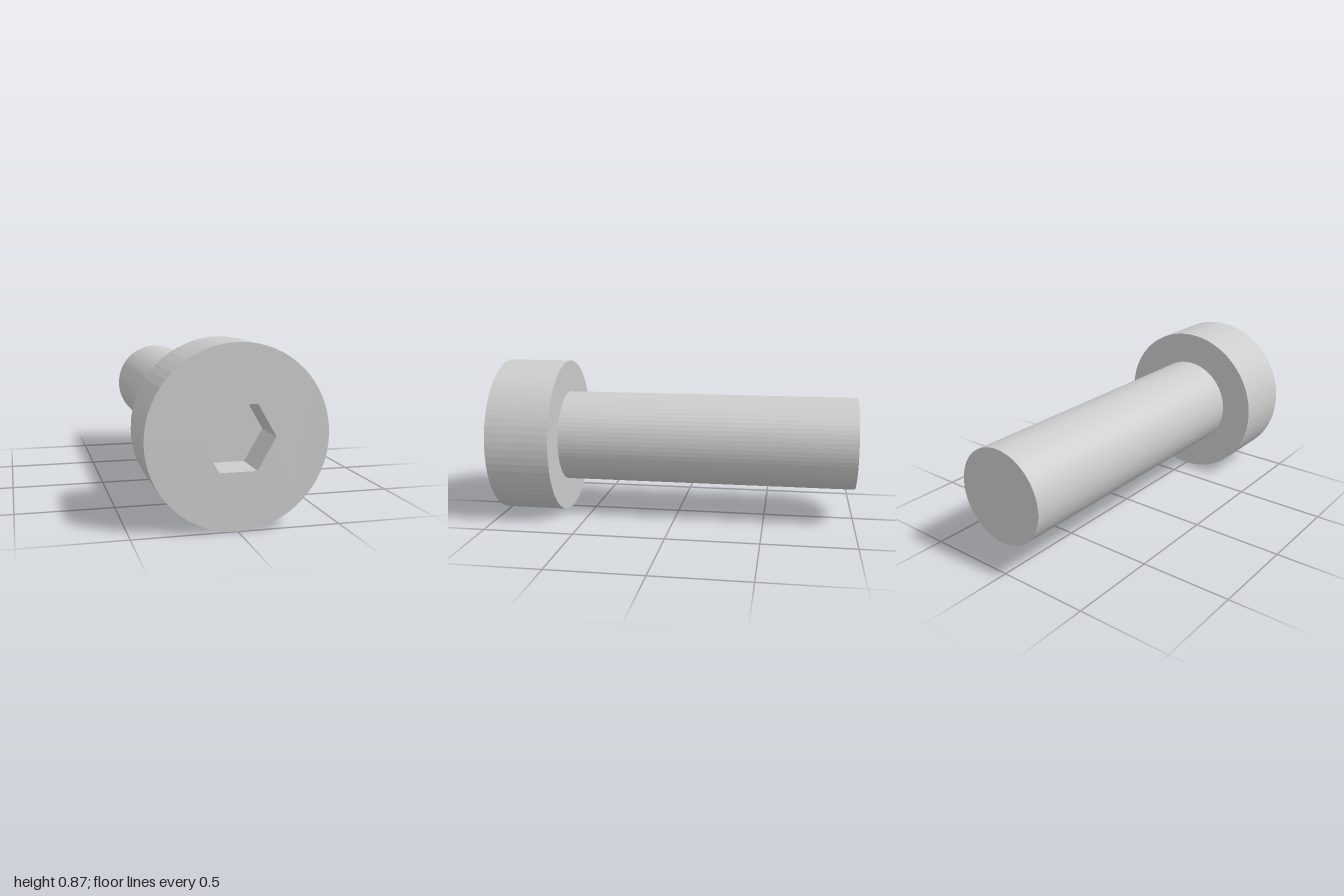
import * as THREE from 'three';

const HEAD_R = 0.436, SHANK_R = 0.256, HEX_R = 0.179;
const BACK = -1, SHOULDER = 0.645, SOCKET_FLOOR = 0.8, FRONT = 1;
const SEGMENTS = 64;

// Points of a regular polygon in the xy plane, with a corner on +x
function polygon(radius, sides) {
  return Array.from({ length: sides }, (_, i) => {
    const a = (i / sides) * Math.PI * 2;
    return new THREE.Vector2(radius * Math.cos(a), radius * Math.sin(a));
  });
}

// Turns a [radius, z] profile around the z axis
function turned(profile, sides, start = 0) {
  const points = profile.map(([r, z]) => new THREE.Vector2(r, z));
  return new THREE.LatheGeometry(points, sides, start).rotateX(Math.PI / 2);
}

export function createModel() {
  const group = new THREE.Group();
  group.name = 'socketHeadBolt';
  const material = new THREE.MeshStandardMaterial({ color: 0xcccccc, flatShading: true });

  const add = (name, geometry, parent) => {
    const mesh = new THREE.Mesh(geometry, material);
    mesh.name = name;
    parent.add(mesh);
  };

  // Plain shank with its end cap
  add('shank', turned([[0, BACK], [SHANK_R, BACK], [SHANK_R, SHOULDER]], SEGMENTS), group);

  const head = new THREE.Group();
  head.name = 'head';
  group.add(head);

  // Shoulder and outer wall of the head
  add('headWall', turned([[SHANK_R, SHOULDER], [HEAD_R, SHOULDER], [HEAD_R, FRONT]], SEGMENTS), head);

  // Front face with the hexagonal opening
  const face = new THREE.Shape(polygon(HEAD_R, SEGMENTS));
  face.holes.push(new THREE.Path(polygon(HEX_R, 6)));
  add('headFace', new THREE.ShapeGeometry(face).translate(0, 0, FRONT), head);

  // Hex socket: walls face inward, floor faces the front
  add('hexSocket', turned([[HEX_R, FRONT], [HEX_R, SOCKET_FLOOR], [0, SOCKET_FLOOR]], 6, Math.PI / 6), head);

  group.position.y = HEAD_R;
  return group;
}
